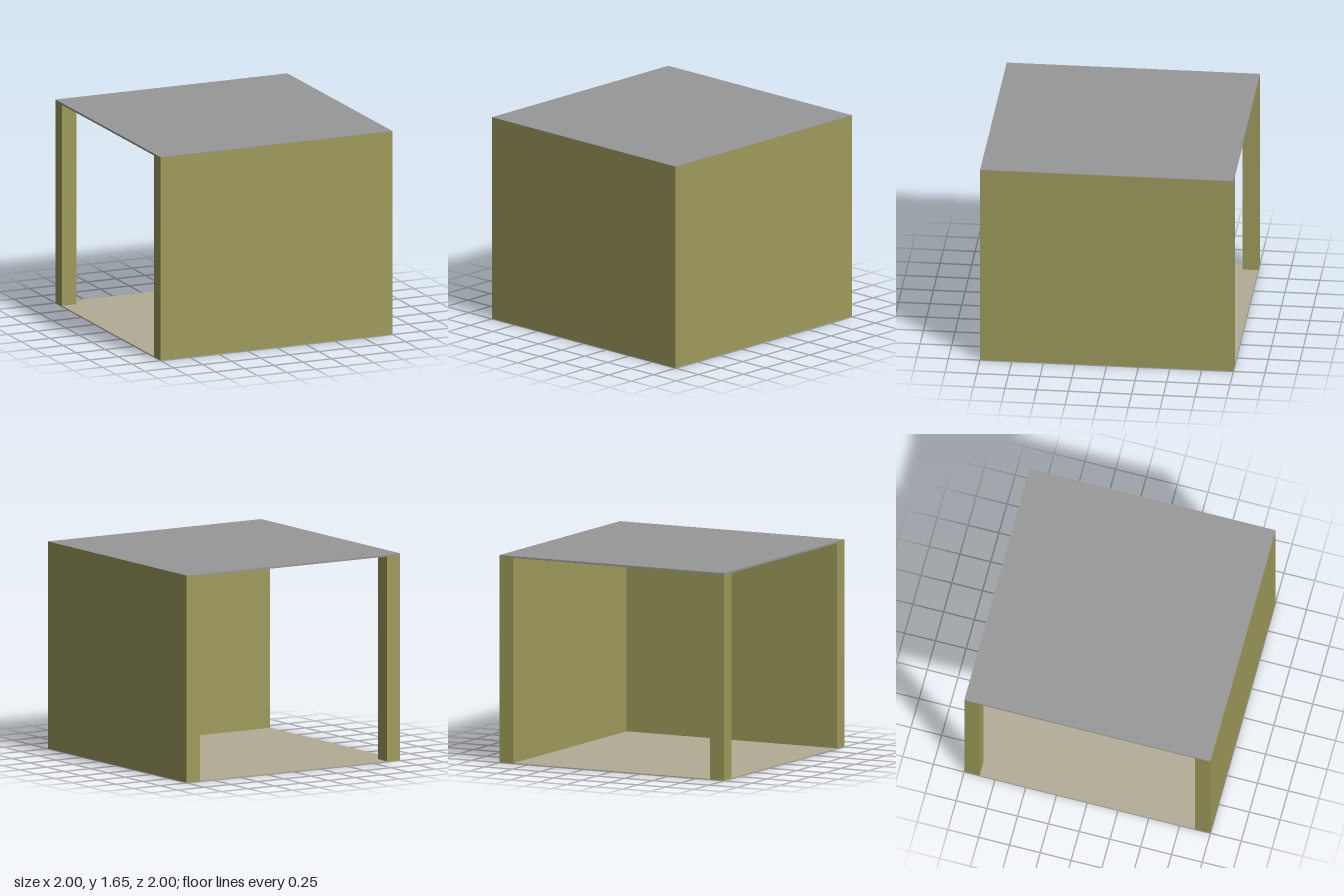
import * as THREE from 'three';

export function createModel() {
  const model = new THREE.Group();
  const paint = (name, color) => {
    const m = new THREE.MeshStandardMaterial({ color });
    m.name = name;
    return m;
  };
  const olive = paint('olive wall', 0x9e9b5c);
  const grey = paint('grey roof', 0x989898);
  const beige = paint('beige floor', 0xb3ab95);

  // Box given by its lower and upper corners
  const box = (name, material, [x0, y0, z0], [x1, y1, z1]) => {
    const mesh = new THREE.Mesh(new THREE.BoxGeometry(x1 - x0, y1 - y0, z1 - z0), material);
    mesh.position.set((x0 + x1) / 2, (y0 + y1) / 2, (z0 + z1) / 2);
    mesh.name = name;
    model.add(mesh);
  };

  const H = 1.65;      // total height
  const T = 0.125;     // wall and post thickness
  const slab = 0.015;  // roof thickness
  const skin = 0.003;  // thin sheet over the wall tops and under the wall feet
  const inner = 1 - T;

  // Floor sheet carrying the walls, raised slightly inside the room
  box('floorBase', beige, [-1, 0, -1], [1, skin, 1]);
  box('floor', beige, [-1, skin, -1], [inner, 0.006, inner]);

  // Two solid walls meeting at the front left corner
  box('frontWall', olive, [-1, skin, inner], [1, H - skin, 1]);
  box('leftWall', olive, [inner, skin, -1], [1, H - skin, inner]);

  // Corner post between the two open sides
  box('cornerPost', olive, [-1, skin, -1], [-inner, H - slab, -inner]);

  // Roof slab with its edge showing over the openings
  box('roofSlab', grey, [-1, H - slab, -1], [inner, H - skin, inner]);
  box('roofTop', grey, [-1, H - skin, -1], [1, H, 1]);

  // Shallow panel under the ceiling
  box('ceilingPanel', grey, [-0.15, H - slab * 2, -0.24], [0.33, H - slab, 0.24]);

  return model;
}
